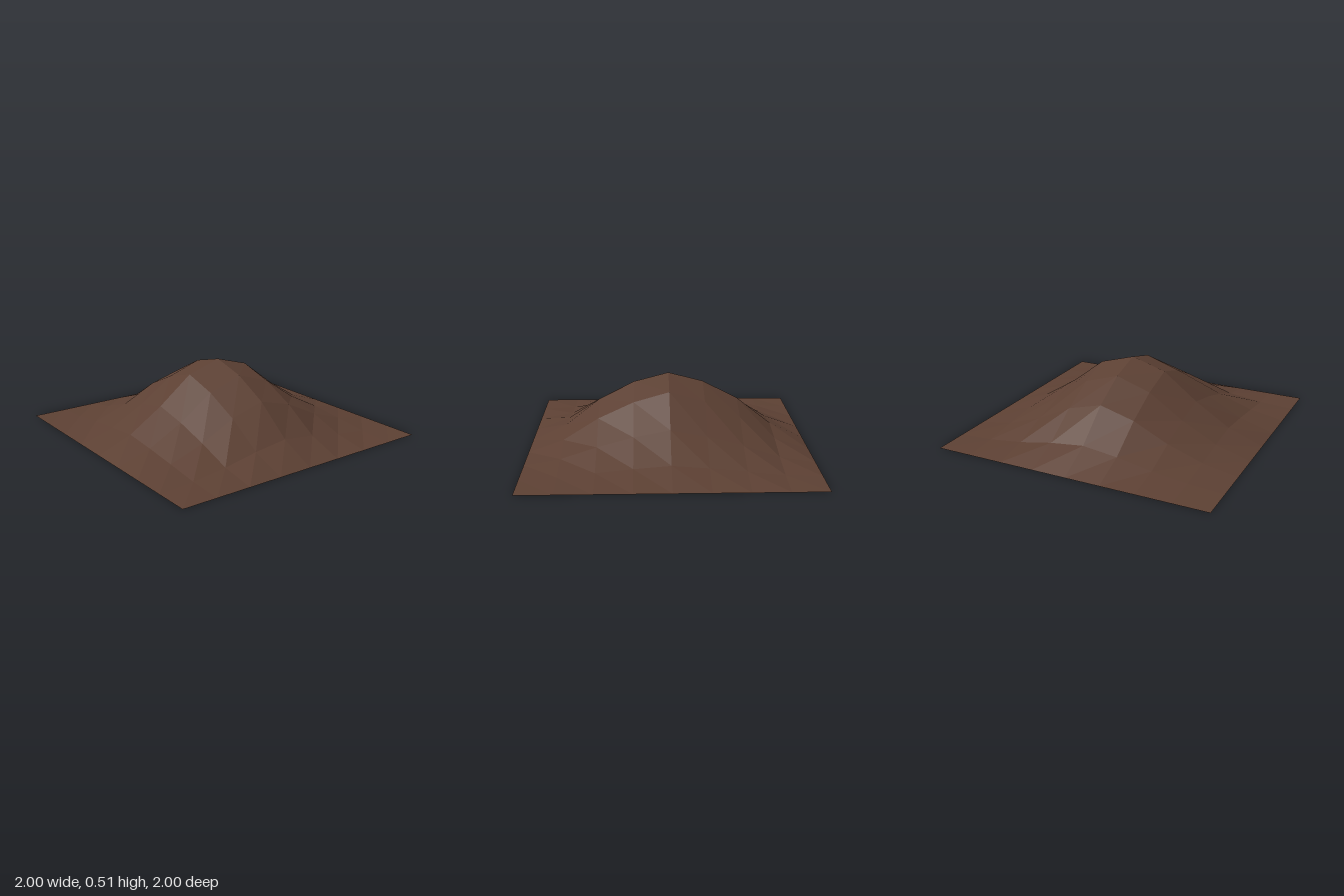
import * as THREE from 'three';

// Ridge heights from -1 to 1 in steps of 0.25, across x and across z
const RIDGE_X = [0, 0.095, 0.25, 0.437, 0.512, 0.437, 0.243, 0.086, 0];
const RIDGE_Z = [0, 0.12, 0.317, 0.446, 0.512, 0.446, 0.317, 0.12, 0];
const PEAK = 0.512;

// Height of the hill at a grid point; the diagonals fall away a little faster
function heightAt(x, z) {
  const i = Math.round((x + 1) * 4);
  const j = Math.round((z + 1) * 4);
  return (RIDGE_X[i] * RIDGE_Z[j] / PEAK) * (1 - 0.65 * Math.abs(x * z));
}

export function createModel() {
  const model = new THREE.Group();
  model.name = 'hill';

  const earth = new THREE.MeshStandardMaterial({
    name: 'brown earth', color: 0x5c4033, flatShading: true, side: THREE.DoubleSide,
  });

  // Open terrain sheet, 8 by 8 cells, raised into a mound
  const geometry = new THREE.PlaneGeometry(2, 2, 8, 8).rotateX(-Math.PI / 2);
  const position = geometry.attributes.position;
  for (let i = 0; i < position.count; i++) {
    position.setY(i, heightAt(position.getX(i), position.getZ(i)));
  }
  geometry.computeVertexNormals();

  const mound = new THREE.Mesh(geometry, earth);
  mound.name = 'mound';
  model.add(mound);
  return model;
}
